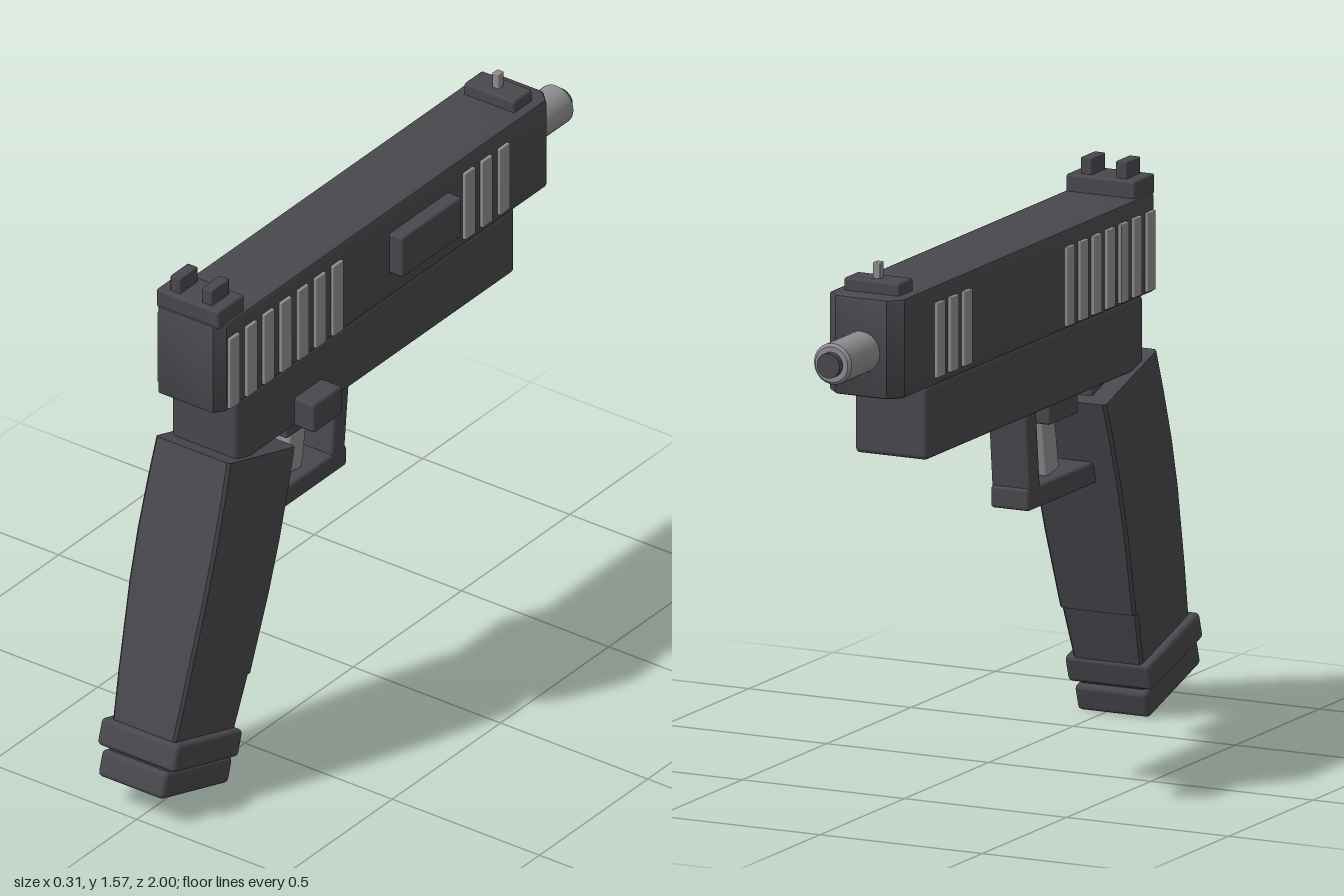
import * as THREE from 'three';
import { RoundedBoxGeometry } from 'three/addons/geometries/RoundedBoxGeometry.js';
import { toCreasedNormals } from 'three/addons/utils/BufferGeometryUtils.js';

const CX = -0.025; // centre plane of the body

export function createModel() {
  const root = new THREE.Group();
  root.name = 'pistol';
  const dark = new THREE.MeshStandardMaterial({ color: 0x49484d });
  dark.name = 'dark grey';
  const steel = new THREE.MeshStandardMaterial({ color: 0x8f8f93 });
  steel.name = 'light grey';

  function add(name, geometry, material, parent = root) {
    const mesh = new THREE.Mesh(geometry, material);
    mesh.name = name;
    parent.add(mesh);
    return mesh;
  }
  // Softly bevelled block given by its extents
  function block(name, material, [x0, x1], [y0, y1], [z0, z1], r = 0.008, parent = root) {
    const mesh = add(name, new RoundedBoxGeometry(x1 - x0, y1 - y0, z1 - z0, 2, r), material, parent);
    mesh.position.set((x0 + x1) / 2, (y0 + y1) / 2, (z0 + z1) / 2);
    return mesh;
  }
  const wide = (w) => [CX - w / 2, CX + w / 2];

  // Slide: plan outline with tapered nose, extruded upwards with a small bevel
  const b = 0.01, h = 0.115 - b;
  const half = [[h - 0.018, 0.74 - b], [h, 0.705], [h, -0.765], [h - 0.03, -0.805 + b]];
  const plan = [...half, ...half.map(([x, z]) => [-x, z]).reverse()];
  const slideGeo = new THREE.ExtrudeGeometry(
    new THREE.Shape(plan.map(([x, z]) => new THREE.Vector2(x, -z))),
    { depth: 0.28 - 2 * b, bevelSize: b, bevelThickness: b, bevelSegments: 2 });
  slideGeo.rotateX(-Math.PI / 2);
  add('slide', toCreasedNormals(slideGeo, 0.6), dark).position.set(CX, 1.2 + b, 0);

  // Serrations stand slightly proud on both sides
  const serrations = new THREE.Group();
  serrations.name = 'serrations';
  root.add(serrations);
  const starts = [];
  for (let i = 0; i < 7; i++) starts.push([0.703 - i * 0.0795, 1.21]);
  for (let i = 0; i < 3; i++) starts.push([-0.383 - i * 0.08, 1.222]);
  for (const [z, y0] of starts) for (const side of [-1, 1]) {
    const x = CX + side * 0.117;
    block('serration', steel, [x - 0.008, x + 0.008], [y0, 1.433], [z - 0.047, z], 0.003, serrations);
  }

  // Frame and side controls
  block('frame', dark, wide(0.224), [0.997, 1.205], [-0.63, 0.655], 0.014);
  block('sidePlate', dark, [0.08, 0.135], [1.278, 1.405], [-0.32, -0.045], 0.008);
  block('sideButton', dark, [0.075, 0.155], [1.0, 1.09], [0.26, 0.39], 0.008);

  // Sights
  block('rearSightBase', dark, wide(0.214), [1.47, 1.528], [0.613, 0.733]);
  for (const side of [-1, 1]) {
    const x = CX + side * 0.054;
    block('rearSightPost', dark, [x - 0.017, x + 0.017], [1.52, 1.575], [0.633, 0.715], 0.004);
  }
  block('frontSightBase', dark, wide(0.172), [1.47, 1.515], [-0.745, -0.66]);
  block('frontSightPost', steel, wide(0.022), [1.51, 1.56], [-0.715, -0.69], 0.003);

  // Barrel and muzzle
  const barrel = add('barrel', toCreasedNormals(new THREE.LatheGeometry(
    [[0, -0.1], [0.058, -0.1], [0.058, 0.172], [0.05, 0.18], [0, 0.18]]
      .map(([r, y]) => new THREE.Vector2(r, y)), 32), 0.6), steel);
  barrel.rotation.x = -Math.PI / 2;
  barrel.position.set(CX, 1.327, -0.8);
  const muzzle = add('muzzle', new THREE.CylinderGeometry(0.035, 0.035, 0.05, 24), dark);
  muzzle.rotation.x = -Math.PI / 2;
  muzzle.position.set(CX, 1.327, -0.975);

  // Trigger and guard
  block('triggerHousing', dark, wide(0.13), [0.925, 1.01], [0.19, 0.36]);
  block('guardMount', dark, wide(0.13), [0.94, 1.01], [0.44, 0.56]);
  const trigger = block('trigger', steel, wide(0.06), [0.77, 0.96], [0.225, 0.3], 0.008);
  trigger.rotation.x = -0.17;
  block('guardBar', dark, wide(0.12), [0.705, 0.768], [0.075, 0.52], 0.01);
  const post = block('guardPost', dark, wide(0.12), [0.73, 1.01], [0.073, 0.133], 0.008);
  post.rotation.x = -0.1;

  // Raked grip; local -y runs down the grip and local -z towards the muzzle
  const grip = new THREE.Group();
  grip.name = 'grip';
  grip.position.set(CX, 1.04, 0.71);
  grip.rotation.x = -0.297;
  root.add(grip);
  add('gripBody', gripGeometry(), dark, grip);
  block('gripCollar', dark, wide(0.265).map((x) => x - CX), [-0.9, -0.82], [-0.315, 0.002], 0.014, grip);
  block('basePlateNeck', dark, [-0.1, 0.1], [-0.93, -0.86], [-0.3, -0.015], 0.008, grip);
  block('basePlate', dark, [-0.112, 0.112], [-0.984, -0.906], [-0.321, 0.002], 0.014, grip);

  return root;
}

// Loft of chamfered rectangles: [depth down, rear, front, half width]
function gripGeometry() {
  const rows = [
    [0, 0, 0.324, 0.126], [0.12, 0, 0.324, 0.13], [0.27, 0, 0.324, 0.132],
    [0.42, 0.002, 0.324, 0.129], [0.56, 0.006, 0.324, 0.122], [0.66, 0.009, 0.324, 0.117],
    [0.664, 0.009, 0.313, 0.117], [0.84, 0.016, 0.309, 0.106],
  ];
  const c = 0.008, pos = [], index = [], n = 8;
  for (const [v, u0, u1, w] of rows) {
    const ring = [[w, -u0 - c], [w, -u1 + c], [w - c, -u1], [c - w, -u1],
      [-w, -u1 + c], [-w, -u0 - c], [c - w, -u0], [w - c, -u0]];
    for (const [x, z] of ring) pos.push(x, -v, z);
  }
  for (let r = 0; r < rows.length - 1; r++) for (let i = 0; i < n; i++) {
    const a = r * n + i, d = r * n + (i + 1) % n;
    index.push(a, a + n, d, d, a + n, d + n);
  }
  const last = (rows.length - 1) * n;
  for (let i = 1; i < n - 1; i++) {
    index.push(0, i, i + 1);
    index.push(last, last + i + 1, last + i);
  }
  const geo = new THREE.BufferGeometry();
  geo.setAttribute('position', new THREE.Float32BufferAttribute(pos, 3));
  geo.setIndex(index);
  return toCreasedNormals(geo, 0.4);
}
